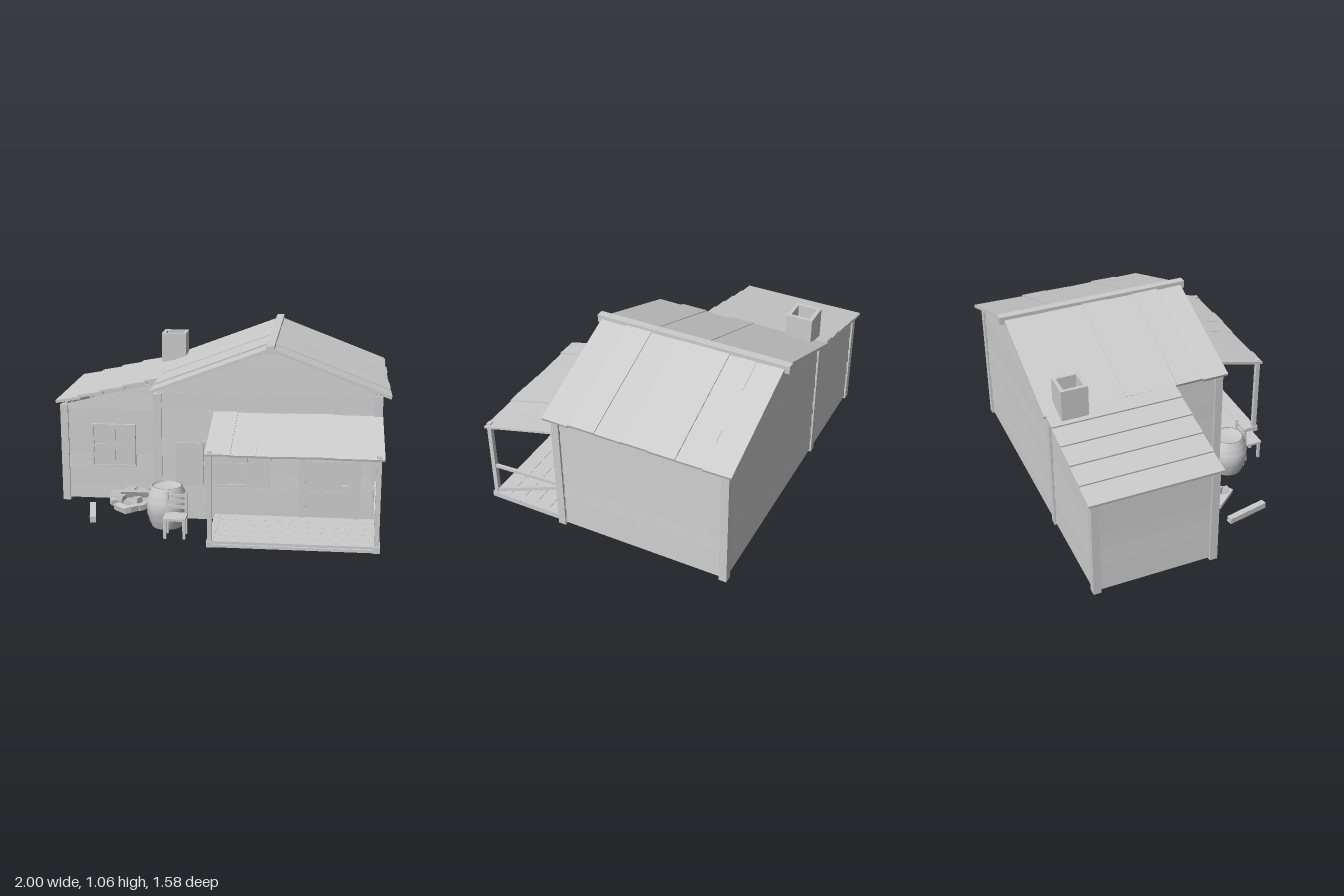
import * as THREE from 'three';

const mat = new THREE.MeshStandardMaterial({ color: 0xcccccc, flatShading: true });
const smooth = new THREE.MeshStandardMaterial({ color: 0xcccccc, side: THREE.DoubleSide });

let seed = 7;
const jitter = (a) => {
  seed = (seed * 16807) % 2147483647;
  return (seed / 2147483647 - 0.5) * 2 * a;
};

export function createModel() {
  const model = new THREE.Group();

  const group = (name, parent = model) => {
    const g = new THREE.Group();
    g.name = name;
    parent.add(g);
    return g;
  };
  const add = (parent, name, geometry, material = mat) => {
    const m = new THREE.Mesh(geometry, material);
    m.name = name;
    parent.add(m);
    return m;
  };
  // Box given by its ranges along x, y and z
  const box = (parent, name, x0, x1, y0, y1, z0, z1) => {
    const m = add(parent, name, new THREE.BoxGeometry(x1 - x0, y1 - y0, z1 - z0));
    m.position.set((x0 + x1) / 2, (y0 + y1) / 2, (z0 + z1) / 2);
    return m;
  };
  // Squared timber running from a to b
  const beam = (parent, name, a, b, w, h) => {
    const p = new THREE.Vector3(...a), q = new THREE.Vector3(...b);
    const m = add(parent, name, new THREE.BoxGeometry(w, h, p.distanceTo(q)));
    m.position.copy(p).add(q).multiplyScalar(0.5);
    m.lookAt(q);
    return m;
  };

  // Clapboard wall: boards cut to left(y) and right(y), tilted outward at the foot
  const plankWall = (name, left, right, top, kink, out) => {
    const wall = group(name);
    const pitch = 0.094;
    for (let y0 = 0.015; y0 < top - 0.01; y0 += pitch) {
      const y1 = Math.min(y0 + pitch, top);
      const ys = kink > y0 && kink < y1 ? [y0, kink, y1] : [y0, y1];
      const mid = (y0 + y1) / 2, cx = (left(y0) + right(y0)) / 2;
      const points = [
        ...ys.map((y) => new THREE.Vector2(right(y) - cx, y - mid)),
        ...ys.slice().reverse().map((y) => new THREE.Vector2(left(y) - cx, y - mid)),
      ];
      const g = new THREE.ExtrudeGeometry(new THREE.Shape(points), { depth: 0.014, bevelEnabled: false });
      g.translate(0, 0, -0.007);
      const board = add(wall, 'wallBoard', g);
      board.position.set(cx, mid, 0);
      board.rotation.set(-out * (0.06 + jitter(0.03)), 0, jitter(0.003));
    }
    return wall;
  };

  // Main house walls
  const ridgeX = 0.32, pitchMain = 0.385, apex = 1.02;
  const run = (y) => Math.max(0.004, (apex - y) / pitchMain);
  const mainL = (y) => Math.max(-0.32, ridgeX - run(y));
  const mainR = (y) => Math.min(0.94, ridgeX + run(y));
  plankWall('frontWall', mainL, mainR, 1.015, 0.772, 1).position.z = 0.312;
  plankWall('backWall', mainL, mainR, 1.015, 0.772, -1).position.z = -0.712;
  const rightSide = plankWall('leftSideWall', () => -0.31, () => 0.71, 0.767, 9, 1);
  rightSide.rotation.y = Math.PI / 2;
  rightSide.position.x = 0.932;
  const returnWall = plankWall('returnWall', () => 0, () => 0.31, 0.767, 9, 1);
  returnWall.rotation.y = -Math.PI / 2;
  returnWall.position.x = -0.325;

  // Lean-to walls
  const leanL = (y) => Math.min(-0.34, Math.max(-0.95, -0.95 + (y - 0.605) / 0.24));
  plankWall('leanToFrontWall', leanL, () => -0.33, 0.75, 0.605, 1).position.z = -0.012;
  plankWall('leanToBackWall', leanL, () => -0.33, 0.75, 0.605, -1).position.z = -0.712;
  const leanSide = plankWall('leanToSideWall', () => -0.71, () => -0.01, 0.605, 9, 1);
  leanSide.rotation.y = -Math.PI / 2;
  leanSide.position.x = -0.955;

  // Corner posts
  const posts = group('cornerPosts');
  for (const [x, z, h] of [[0.93, 0.308, 0.77], [-0.324, 0.308, 0.76], [0.93, -0.707, 0.77],
    [-0.324, -0.707, 0.75], [-0.952, -0.707, 0.605], [-0.952, -0.014, 0.605]])
    box(posts, 'cornerPost', x - 0.023, x + 0.023, 0, h, z - 0.023, z + 0.023);

  // Main roof: boards running down both slopes, with a ridge beam
  const roof = group('mainRoof');
  for (const [side, eaveX] of [[1, 0.995], [-1, -0.36]])
    for (let i = 0; i < 7; i++) {
      const z = 0.271 - i * 0.1586, d = jitter(0.004), tip = side * jitter(0.004);
      const b = beam(roof, 'roofBoard', [ridgeX, 1.035 + d, z], [eaveX + tip, 0.776 + d, z], 0.161, 0.018);
      b.rotateZ(jitter(0.02));
    }
  box(roof, 'ridgeBeam', 0.297, 0.343, 1.01, 1.056, -0.79, 0.375);

  // Lean-to roof: overlapping boards laid lengthwise
  const leanRoof = group('leanToRoof');
  for (let i = 0; i < 5; i++) {
    const x = -1 + i * 0.136, y = 0.616 + i * 0.034, w = i === 4 ? 0.11 : 0.155;
    const b = box(leanRoof, 'leanToRoofBoard', x, x + w, y, y + 0.017, -0.75, 0.02);
    b.position.y += w * 0.09;
    b.rotation.z = 0.18;
  }

  // Hollow chimney
  const square = (C, r) => {
    const s = new C();
    s.moveTo(-r, -r).lineTo(r, -r).lineTo(r, r).lineTo(-r, r).closePath();
    return s;
  };
  const flue = square(THREE.Shape, 0.078);
  flue.holes.push(square(THREE.Path, 0.057));
  const chimney = add(model, 'chimney', new THREE.ExtrudeGeometry(flue, { depth: 0.28, bevelEnabled: false }));
  chimney.rotation.x = -Math.PI / 2;
  chimney.position.set(-0.352, 0.68, -0.603);

  // Four-pane windows with deep frames
  const makeWindow = (name, x0, x1, z) => {
    const w = group(name), y0 = 0.22, y1 = 0.49, t = 0.014, zb = z - 0.14, cx = (x0 + x1) / 2;
    box(w, 'frameSide', x0, x0 + t, y0, y1, zb, z);
    box(w, 'frameSide', x1 - t, x1, y0, y1, zb, z);
    box(w, 'frameTop', x0 + t, x1 - t, y1 - t, y1, zb, z);
    box(w, 'frameSill', x0 + t, x1 - t, y0, y0 + t, zb, z);
    box(w, 'mullion', cx - 0.011, cx + 0.011, y0 + t, y1 - t, z - 0.02, z - 0.002);
    box(w, 'crossbar', x0 + t, x1 - t, 0.346, 0.364, z - 0.02, z - 0.003);
    box(w, 'pane', x0 + t, x1 - t, y0 + t, y1 - t, z - 0.022, z - 0.01);
  };
  makeWindow('leanToWindow', -0.785, -0.515, 0.014);
  makeWindow('frontWindow', -0.075, 0.195, 0.336);
  const shutters = group('shutters');
  box(shutters, 'shutter', -0.22, -0.078, 0.22, 0.475, 0.3, 0.328);
  box(shutters, 'shutter', 0.198, 0.33, 0.22, 0.475, 0.3, 0.328);

  // Door
  const door = group('door');
  box(door, 'doorFrame', 0.492, 0.53, 0.05, 0.49, 0.25, 0.335);
  box(door, 'doorFrame', 0.805, 0.843, 0.05, 0.49, 0.25, 0.335);
  box(door, 'doorLintel', 0.53, 0.805, 0.455, 0.49, 0.25, 0.335);
  for (const [y0, y1] of [[0.05, 0.207], [0.21, 0.387], [0.39, 0.455]])
    box(door, 'doorBoard', 0.53, 0.805, y0, y1, 0.29, 0.325);
  box(door, 'doorHandle', 0.737, 0.78, 0.228, 0.25, 0.32, 0.345);

  // Porch: deck, posts, side railing and sloping roof
  const porch = group('porch');
  for (let i = 0; i < 5; i++) {
    const z = 0.325 + i * 0.09;
    box(porch, 'deckBoard', 0.01, 0.945, 0.035 + jitter(0.002), 0.05, z, z + 0.088);
  }
  for (const x of [0.025, 0.925]) {
    box(porch, 'deckJoist', x - 0.018, x + 0.018, 0.018, 0.053, 0.325, 0.788);
    box(porch, 'porchPost', x - 0.013, x + 0.013, 0.02, 0.555, 0.752, 0.778);
    beam(porch, 'roofBearer', [x, 0.64, 0.33], [x, 0.53, 0.775], 0.022, 0.018);
  }
  box(porch, 'deckEdge', 0.04, 0.91, 0.02, 0.036, 0.765, 0.785);
  beam(porch, 'handrail', [0.925, 0.247, 0.77], [0.925, 0.272, 0.325], 0.018, 0.018);
  beam(porch, 'brace', [0.925, 0.06, 0.77], [0.925, 0.245, 0.325], 0.018, 0.022);
  for (let i = 0; i < 7; i++) {
    const x = 0.068 + i * 0.1364, d = jitter(0.003);
    beam(porch, 'porchRoofBoard', [x, 0.657 + d, 0.32], [x, 0.537 + d, 0.785 + d], 0.138, 0.012)
      .rotateZ(jitter(0.025));
  }

  // Barrel with hoops and a sunken lid
  const barrel = group('barrel');
  barrel.position.set(-0.258, 0.012, 0.432);
  const profile = [[0, 0.008], [0.086, 0.008], [0.088, 0], [0.104, 0.05], [0.115, 0.09], [0.117, 0.12],
    [0.115, 0.15], [0.104, 0.19], [0.088, 0.24], [0.081, 0.24], [0.083, 0.225], [0, 0.225]];
  add(barrel, 'staves', new THREE.LatheGeometry(profile.map((p) => new THREE.Vector2(...p)), 24), smooth);
  for (const [y, r0, r1] of [[0.035, 0.096, 0.103], [0.075, 0.109, 0.114], [0.165, 0.114, 0.109], [0.205, 0.103, 0.096]])
    add(barrel, 'hoop', new THREE.CylinderGeometry(r1 + 0.004, r0 + 0.004, 0.018, 24, 1, true), smooth).position.y = y;

  // Ladder-back chair
  const chair = group('chair');
  box(chair, 'seat', -0.247, -0.122, 0.118, 0.132, 0.553, 0.672);
  for (const x of [-0.238, -0.131]) {
    box(chair, 'frontLeg', x - 0.008, x + 0.008, 0.012, 0.12, 0.65, 0.666);
    beam(chair, 'backPost', [x, 0.012, 0.568], [x, 0.253, 0.556], 0.014, 0.014);
  }
  for (const y of [0.165, 0.2, 0.232])
    box(chair, 'backSlat', -0.24, -0.129, y - 0.008, y + 0.008, 0.554, 0.563);

  // Tumbled firewood and one stray timber
  const pile = group('woodPile');
  const logs = [
    [-0.63, 0.035, 0.03, -0.44, 0.035, 0.22], [-0.65, 0.035, 0.13, -0.47, 0.035, 0.04],
    [-0.39, 0.035, 0.12, -0.53, 0.035, 0.27], [-0.6, 0.035, 0.2, -0.51, 0.05, 0.32],
    [-0.65, 0.07, 0.06, -0.46, 0.075, 0.2], [-0.38, 0.06, 0.15, -0.48, 0.085, 0.05],
    [-0.53, 0.095, 0.04, -0.57, 0.11, 0.28], [-0.41, 0.08, 0.09, -0.58, 0.125, 0.23],
    [-0.37, 0.035, 0.1, -0.55, 0.035, 0.06],
  ];
  for (const [x0, y0, z0, x1, y1, z1] of logs)
    beam(pile, 'log', [x0, y0, z0], [x1, y1, z1], 0.042, 0.034).rotateZ(jitter(0.3));
  beam(pile, 'strayTimber', [-0.745, 0.035, 0.2], [-0.69, 0.035, 0.455], 0.036, 0.036);

  return model;
}
